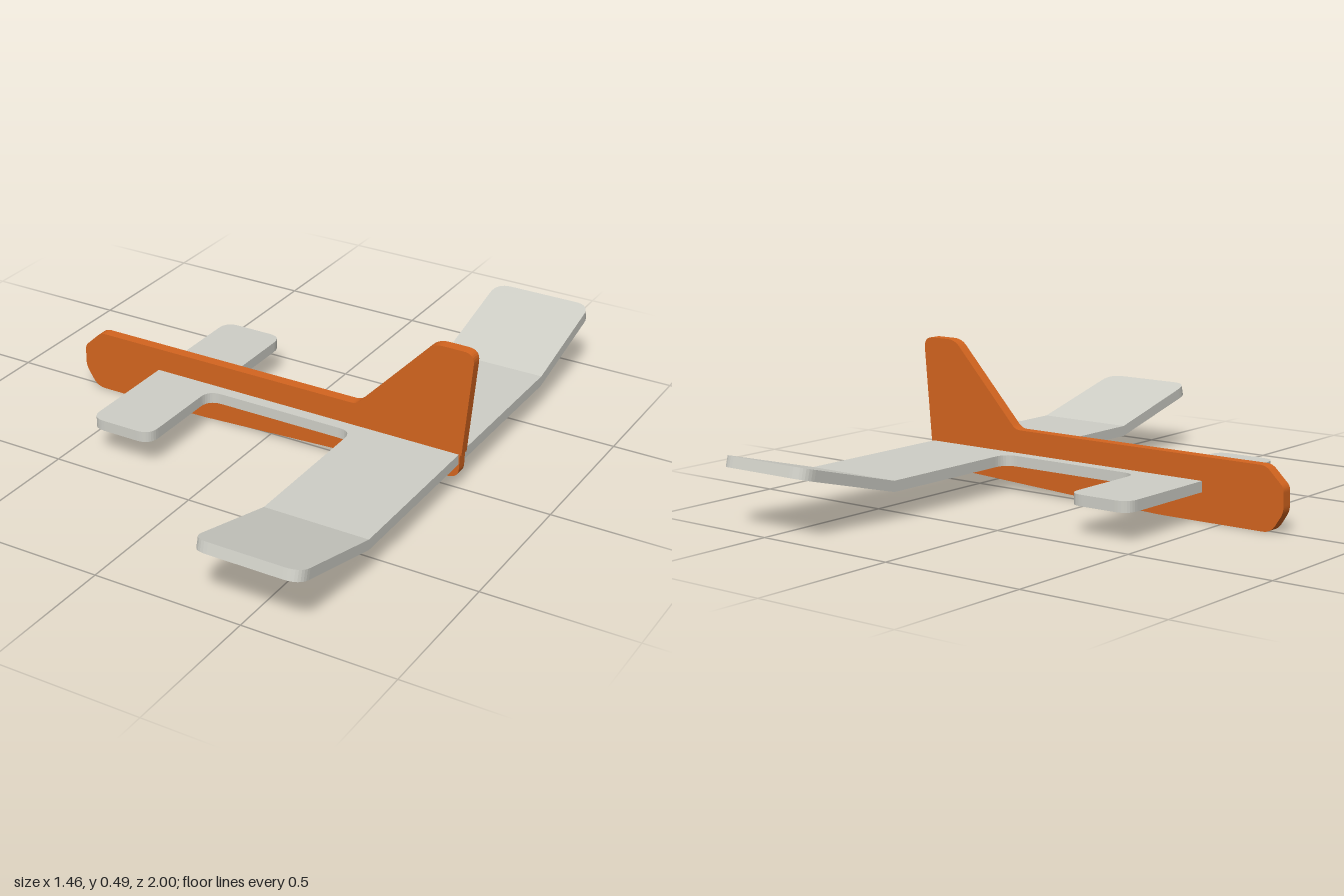
import * as THREE from 'three';

// Closed shape from [x, y, radius] corners, each rounded by its radius
function roundedShape(corners) {
  const shape = new THREE.Shape();
  const n = corners.length;
  corners.forEach(([x, y, r], i) => {
    const p = new THREE.Vector2(x, y);
    const toward = (c) => new THREE.Vector2(c[0], c[1]).sub(p).setLength(r).add(p);
    const a = toward(corners[(i + n - 1) % n]);
    const b = toward(corners[(i + 1) % n]);
    if (i === 0) shape.moveTo(a.x, a.y);
    else shape.lineTo(a.x, a.y);
    if (r > 0) shape.quadraticCurveTo(x, y, b.x, b.y);
  });
  shape.closePath();
  return shape;
}

// Extrusion centred on its thickness
function slab(corners, thickness) {
  const g = new THREE.ExtrudeGeometry(roundedShape(corners), {
    depth: thickness, bevelEnabled: false, curveSegments: 8,
  });
  return g.translate(0, 0, -thickness / 2);
}

export function createModel() {
  const model = new THREE.Group();
  const orange = new THREE.MeshStandardMaterial({ color: 0xd4651f });
  orange.name = 'orange board';
  const grey = new THREE.MeshStandardMaterial({ color: 0xcfcfc7 });
  grey.name = 'light grey board';

  const add = (name, geometry, material) => {
    const mesh = new THREE.Mesh(geometry, material);
    mesh.name = name;
    model.add(mesh);
    return mesh;
  };

  // Upright board: body and fin in one profile
  add('fuselageAndFin', slab([
    [-0.73, 0.07, 0.02], [-0.685, 0.002, 0.03], [-0.26, 0.002, 0.03],
    [0.692, 0.048, 0.035], [0.694, 0.13, 0], [0.699, 0.13, 0],
    [0.729, 0.49, 0.04], [0.59, 0.49, 0.03], [0.325, 0.21, 0.02],
    [-0.665, 0.21, 0.02], [-0.73, 0.148, 0.015],
  ], 0.037), orange);

  // Flat board: wing centre, narrow spine and small plane
  const T = 0.036, Y = 0.114, FOLD = 0.6, R = 0.05;
  const W0 = 0.335, W1 = 0.69, S0 = -0.43, S1 = -0.205;
  const half = [
    [W1, FOLD, 0], [W0, FOLD, 0], [W0, 0.06, R],
    [S1, 0.06, R], [S1, 0.408, R], [S0, 0.408, R],
  ];
  const mirrored = half.map(([x, z, r]) => [x, -z, r]).reverse();
  const plate = slab([...half, ...mirrored], T).rotateX(-Math.PI / 2);
  add('wingPlate', plate.translate(0, Y, 0), grey);

  // Raised wing tips, mitred at the fold
  const angle = THREE.MathUtils.degToRad(14.7), length = 0.409;
  for (const side of [1, -1]) {
    const inner = side * FOLD, outer = side * (FOLD + length);
    const tip = slab([
      [W0, inner, 0], [W1, inner, 0], [W1, outer, 0.055], [W0, outer, 0.055],
    ], T).rotateX(-Math.PI / 2);
    const p = tip.attributes.position;
    for (let i = 0; i < p.count; i++) {
      const s = Math.sign(p.getZ(i));
      const d = Math.abs(p.getZ(i)) - FOLD;
      if (d < 1e-5) continue;
      const h = p.getY(i);
      p.setY(i, h * Math.cos(angle) + d * Math.sin(angle));
      p.setZ(i, s * (FOLD + d * Math.cos(angle) - h * Math.sin(angle)));
    }
    tip.computeVertexNormals();
    add(side > 0 ? 'frontWingTip' : 'backWingTip', tip.translate(0, Y, 0), grey);
  }
  return model;
}
